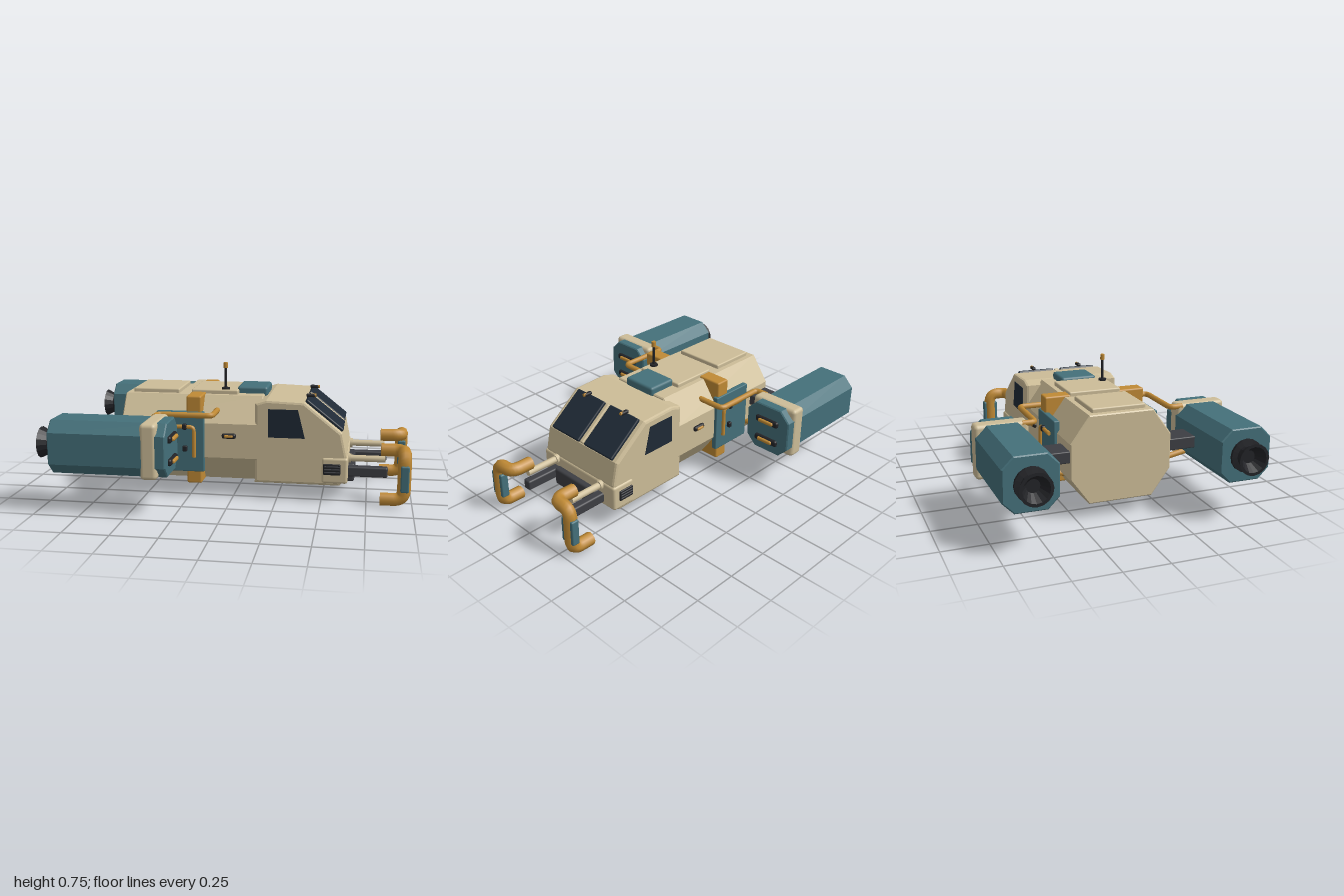
import * as THREE from 'three';
import { RoundedBoxGeometry } from 'three/addons/geometries/RoundedBoxGeometry.js';

const mat = (color) => new THREE.MeshStandardMaterial({ color });
const TAN = mat(0xcdbd98), TEAL = mat(0x44707a), GOLD = mat(0xc08a35);
const DARK = mat(0x3d3e43), BLACK = mat(0x222327), GLASS = mat(0x1f2a36);

export function createModel() {
  const model = new THREE.Group();
  model.name = 'spaceShuttle';

  const add = (name, geo, material, parent = model) => {
    const m = new THREE.Mesh(geo, material);
    m.name = name;
    parent.add(m);
    return m;
  };
  // Box given by its limits on each axis
  const box = (name, x, y, z, material, r = 0.008, parent = model) => {
    const size = [x, y, z].map(([a, b]) => Math.abs(b - a));
    const m = add(name, new RoundedBoxGeometry(...size, 2, Math.min(r, Math.min(...size) * 0.45)), material, parent);
    m.position.set((x[0] + x[1]) / 2, (y[0] + y[1]) / 2, (z[0] + z[1]) / 2);
    return m;
  };
  // Mirrors a range of z to the given side
  const side = (s, a, b) => [s * a, s * b];
  // Cylinder lying along x
  const rod = (name, x0, x1, y, z, r, material, parent = model) => {
    const g = new THREE.CylinderGeometry(r, r, x1 - x0, 12).rotateZ(Math.PI / 2);
    add(name, g, material, parent).position.set((x0 + x1) / 2, y, z);
  };
  // Pipe through points with rounded corners
  const pipe = (name, pts, r, bend, material, sides = 8, parent = model) => {
    const v = pts.map((p) => new THREE.Vector3(...p));
    const path = new THREE.CurvePath();
    let from = v[0];
    for (let i = 1; i < v.length - 1; i++) {
      const a = v[i].clone().add(v[i - 1].clone().sub(v[i]).setLength(bend));
      const b = v[i].clone().add(v[i + 1].clone().sub(v[i]).setLength(bend));
      path.add(new THREE.LineCurve3(from, a));
      path.add(new THREE.QuadraticBezierCurve3(a, v[i], b));
      from = b;
    }
    path.add(new THREE.LineCurve3(from, v[v.length - 1]));
    add(name, new THREE.TubeGeometry(path, v.length > 2 ? 48 : 1, r, sides), material, parent);
    // End caps
    [[v[0], v[1]], [v[v.length - 1], v[v.length - 2]]].forEach(([end, next]) => {
      const cap = add(name + 'Cap', new THREE.CircleGeometry(r, sides), material, parent);
      cap.position.copy(end);
      cap.lookAt(end.clone().multiplyScalar(2).sub(next));
    });
  };
  // Octagonal prism along x with chamfered corners
  const octagon = (name, x0, x1, yc, zc, hw, hh, cz, cy, material, parent = model) => {
    const shape = new THREE.Shape([
      [hw - cz, -hh], [hw, -hh + cy], [hw, hh - cy], [hw - cz, hh],
      [cz - hw, hh], [-hw, hh - cy], [-hw, cy - hh], [cz - hw, -hh],
    ].map((p) => new THREE.Vector2(...p)));
    const b = 0.006;
    const g = new THREE.ExtrudeGeometry(shape, {
      depth: x1 - x0 - 2 * b, bevelThickness: b, bevelSize: b, bevelOffset: -b, bevelSegments: 1,
    }).rotateY(Math.PI / 2);
    add(name, g, material, parent).position.set(x0 + b, yc, zc);
  };

  // Rear hull, band and roof plates
  octagon('hull', -0.64, 0.16, 0.335, 0, 0.285, 0.243, 0.105, 0.145, TAN);
  box('hullBand', [-0.26, -0.175], [0.085, 0.588], [-0.295, 0.295], GOLD, 0.01);
  box('rearRoofPlate', [-0.6, -0.33], [0.56, 0.602], [-0.152, 0.152], TAN);
  box('middleRoofPlate', [-0.26, 0.01], [0.56, 0.602], [-0.152, 0.152], TAN);
  box('roofHatch', [0, 0.175], [0.56, 0.617], [-0.105, 0.105], TEAL, 0.015);

  // Antenna
  const post = (name, r, y0, y1, material) =>
    add(name, new THREE.CylinderGeometry(r, r, y1 - y0, 10), material).position.set(-0.065, (y0 + y1) / 2, 0.12);
  post('antennaBase', 0.024, 0.59, 0.612, BLACK);
  post('antennaMast', 0.007, 0.6, 0.73, BLACK);
  post('antennaTip', 0.013, 0.725, 0.756, GOLD);

  // Cab: side profile extruded across the width
  const cab = new THREE.Shape([
    [0.125, 0.1], [0.6, 0.1], [0.635, 0.14], [0.638, 0.27], [0.61, 0.4],
    [0.4, 0.567], [0.19, 0.575], [0.125, 0.555],
  ].map((p) => new THREE.Vector2(...p)));
  const cabGeo = new THREE.ExtrudeGeometry(cab, {
    depth: 0.54, bevelThickness: 0.015, bevelSize: 0.015, bevelOffset: -0.015, bevelSegments: 2,
  });
  add('cab', cabGeo, TAN).position.z = -0.27;
  box('cabCheeks', [0.5, 0.645], [0.115, 0.262], [-0.293, 0.293], TAN, 0.015);
  box('noseBumper', [0.53, 0.68], [0.097, 0.2], [-0.168, 0.168], DARK, 0.012);

  // Windscreen panes and centre bar
  const slope = Math.atan2(-0.167, 0.21);
  for (const s of [1, -1]) {
    const pane = box('windscreen', [-0.132, 0.132], [-0.012, 0.012], side(s, 0.022, 0.248), GLASS);
    pane.position.x = 0.508;
    pane.position.y = 0.488;
    pane.rotation.z = slope;
  }
  const bar = box('windscreenBar', [-0.13, 0.13], [-0.01, 0.01], [-0.014, 0.014], TAN);
  bar.position.set(0.508, 0.488, 0);
  bar.rotation.z = slope;

  const windowShape = new THREE.Shape([[0.2, 0.365], [0.405, 0.365], [0.365, 0.525], [0.2, 0.525]]
    .map((p) => new THREE.Vector2(...p)));

  for (const s of [1, -1]) {
    const half = new THREE.Group();
    half.name = s > 0 ? 'leftParts' : 'rightParts';
    model.add(half);

    // Cab side details
    add('sideWindow', new THREE.ExtrudeGeometry(windowShape, { depth: 0.008, bevelEnabled: false }), GLASS, half)
      .position.z = s > 0 ? 0.28 : -0.288;
    box('grilleFrame', [0.51, 0.605], [0.165, 0.228], side(s, 0.28, 0.3), BLACK, 0.006, half);
    for (let i = 0; i < 3; i++) {
      const y = 0.181 + i * 0.016;
      box('grilleSlat', [0.515, 0.6], [y - 0.004, y + 0.004], side(s, 0.295, 0.304), DARK, 0.003, half);
    }
    box('roofLamp', [0.4, 0.45], [0.575, 0.594], side(s, 0.138, 0.162), BLACK, 0.008, half);
    rod('roofLampLens', 0.435, 0.456, 0.586, s * 0.15, 0.009, GOLD, half);

    // Hull side details
    box('sideLampFrame', [-0.06, 0.02], [0.35, 0.38], side(s, 0.275, 0.303), BLACK, 0.012, half);
    box('sideLamp', [-0.045, 0.005], [0.357, 0.373], side(s, 0.29, 0.31), GOLD, 0.007, half);
    box('sidePanel', [-0.43, -0.16], [0.155, 0.5], side(s, 0.27, 0.303), TEAL, 0.006, half);
    pipe('panelPipe', [[-0.37, 0.415, s * 0.31], [-0.215, 0.415, s * 0.31], [-0.215, 0.24, s * 0.31]], 0.011, 0.025, GOLD, 8, half);
    for (const y of [0.29, 0.415]) box('panelClip', [-0.28, -0.255], [y - 0.016, y + 0.016], side(s, 0.295, 0.323), BLACK, 0.006, half);

    // Engine pod
    const z = s * 0.58, y = 0.365;
    octagon('enginePod', -0.915, -0.28, y, z, 0.145, 0.145, 0.06, 0.06, TEAL, half);
    box('podCollar', [-0.415, -0.325], [0.215, 0.515], side(s, 0.434, 0.73), TAN, 0.022, half);
    for (const dy of [-0.07, 0.052]) {
      box('podLampFrame', [-0.29, -0.262], [y + dy - 0.019, y + dy + 0.019], side(s, 0.503, 0.657), BLACK, 0.012, half);
      box('podLamp', [-0.275, -0.25], [y + dy - 0.011, y + dy + 0.011], side(s, 0.53, 0.63), GOLD, 0.009, half);
    }
    const nozzle = [[0, 0], [0.09, 0], [0.09, 0.03], [0.06, 0.034], [0.06, 0.05], [0.086, 0.1], [0.07, 0.1], [0.035, 0.045], [0, 0.045]]
      .map((p) => new THREE.Vector2(...p));
    const nozzleMat = BLACK.clone();
    nozzleMat.flatShading = true;
    add('engineNozzle', new THREE.LatheGeometry(nozzle, 16).rotateZ(Math.PI / 2), nozzleMat, half).position.set(-0.9, y, z);

    // Struts and pipes from hull to pod
    box('podStrut', [-0.63, -0.485], [0.33, 0.395], side(s, 0.26, 0.46), DARK, 0.006, half);
    pipe('lowerBrace', [[-0.465, 0.255, s * 0.46], [-0.465, 0.215, s * 0.25]], 0.017, 0, GOLD, 8, half);
    pipe('fuelPipe', [[-0.4, 0.5, s * 0.47], [-0.4, 0.5, s * 0.395], [-0.095, 0.5, s * 0.395], [-0.095, 0.5, s * 0.23]], 0.016, 0.03, GOLD, 8, half);

    // Front arms and hooked grabber
    rod('upperArm', 0.6, 0.85, 0.24, s * 0.185, 0.019, TAN, half);
    rod('armSocket', 0.62, 0.66, 0.24, s * 0.185, 0.027, TAN, half);
    box('lowerArm', [0.58, 0.865], [0.137, 0.195], side(s, 0.16, 0.21), DARK, 0.01, half);
    pipe('grabber', [
      [0.825, 0.295, s * 0.185], [0.953, 0.295, s * 0.185], [0.953, 0.295, s * 0.303],
      [0.953, 0.045, s * 0.303], [0.825, 0.045, s * 0.303],
    ], 0.037, 0.055, GOLD, 8, half);
    box('grabberPad', [0.932, 0.978], [0.095, 0.243], side(s, 0.257, 0.347), TEAL, 0.008, half);
  }
  return model;
}
